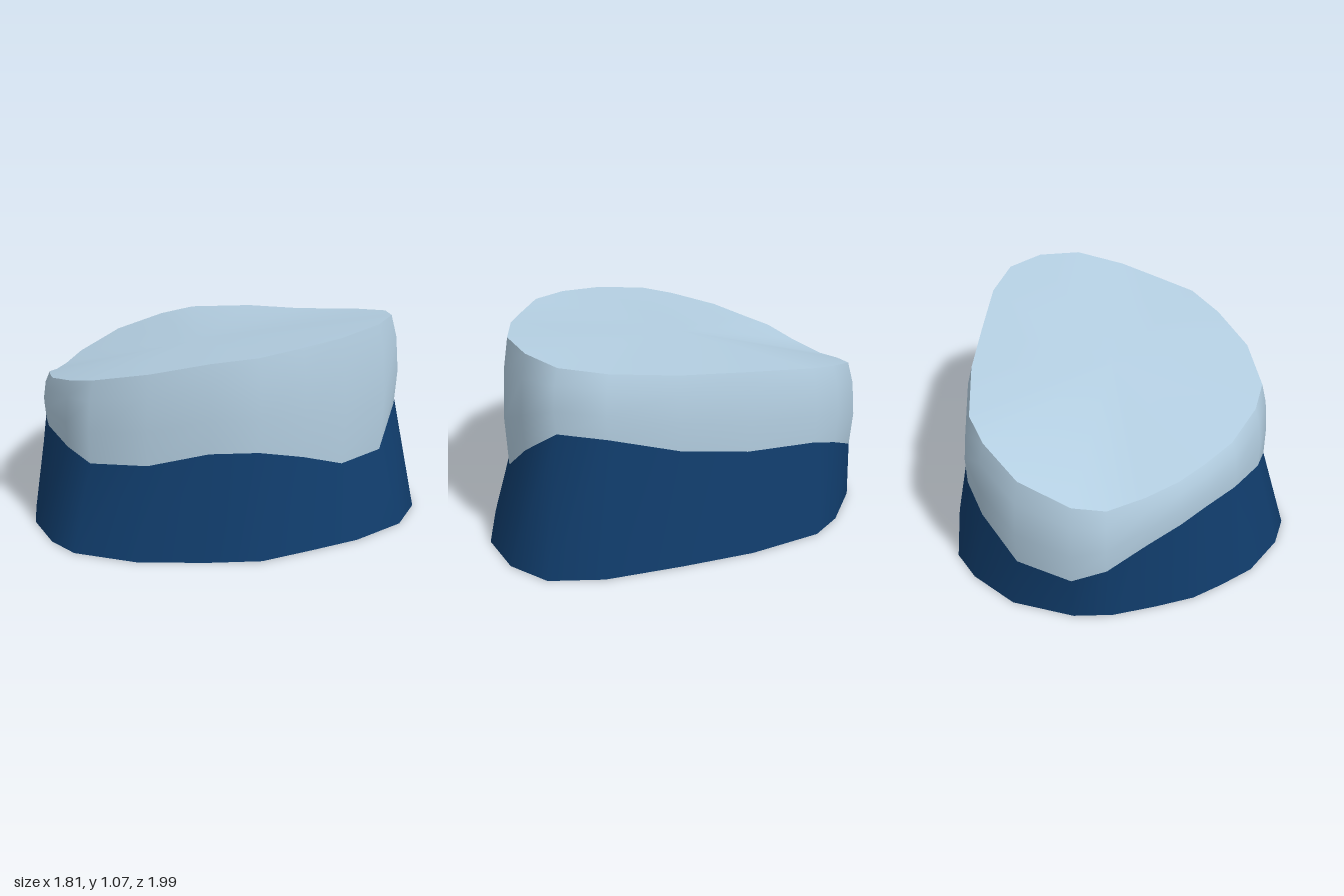
import * as THREE from 'three';

// Rim stations, counterclockwise from above: x, z, rim height, colour seam height
const stations = [
  [-0.745, -0.065, 0.86, 0.44], [-0.645, 0.21, 0.92, 0.465], [-0.47, 0.44, 0.975, 0.53],
  [-0.31, 0.61, 1.0, 0.53], [-0.09, 0.71, 1.02, 0.465], [0.11, 0.795, 1.04, 0.39],
  [0.37, 0.845, 1.065, 0.40], [0.58, 0.79, 1.06, 0.58], [0.725, 0.665, 1.035, 0.72],
  [0.77, 0.44, 1.0, 0.685], [0.75, 0.1, 0.95, 0.575], [0.72, -0.235, 0.92, 0.515],
  [0.64, -0.595, 0.87, 0.48], [0.535, -0.745, 0.825, 0.41], [0.335, -0.91, 0.745, 0.28],
  [0.07, -0.96, 0.66, 0.235], [-0.09, -0.92, 0.63, 0.285], [-0.26, -0.82, 0.655, 0.385],
  [-0.405, -0.725, 0.695, 0.455], [-0.515, -0.605, 0.725, 0.49], [-0.63, -0.465, 0.765, 0.51],
  [-0.725, -0.235, 0.82, 0.48],
];

// Horizontal sections of the shell
const foot = ([x, z]) => [x * 1.195 - 0.015, 0, z * 1.1 + 0.085 * z * z];
const seam = ([x, z, , s]) => [x * 1.045, s, z * 1.03];
const bulge = ([x, z, t, s]) => [x * 1.05, s + 0.38 * (t - s), z * 1.045];
const shoulder = ([x, z, t, s]) => [x * 1.032, s + 0.76 * (t - s), z * 1.03];
const rim = ([x, z, t]) => [x, t, z];

function geometryFrom(points, index) {
  const geometry = new THREE.BufferGeometry();
  geometry.setAttribute('position', new THREE.Float32BufferAttribute(points.flat(), 3));
  geometry.setIndex(index);
  geometry.computeVertexNormals();
  return geometry;
}

// Smooth wall through a stack of closed sections
function loft(sections) {
  const n = stations.length;
  const points = sections.flatMap((section) => stations.map(section));
  const index = [];
  for (let r = 0; r < sections.length - 1; r++) {
    for (let i = 0; i < n; i++) {
      const a = r * n + i, b = r * n + (i + 1) % n;
      index.push(a, b, b + n, a, b + n, a + n);
    }
  }
  return geometryFrom(points, index);
}

// Gently saddle-shaped lid, fanned from its middle
function lid() {
  const n = stations.length;
  const points = [...stations.map(rim), [0.03, 0.895, -0.05]];
  const index = [];
  for (let i = 0; i < n; i++) index.push(i, (i + 1) % n, n);
  return geometryFrom(points, index);
}

export function createModel() {
  const navy = new THREE.MeshStandardMaterial({ color: 0x103c6b, side: THREE.DoubleSide });
  navy.name = 'navy';
  const paleBlue = new THREE.MeshStandardMaterial({ color: 0xb4cfe2, side: THREE.DoubleSide });
  paleBlue.name = 'paleBlue';

  const group = new THREE.Group();
  group.name = 'openShell';
  const add = (name, geometry, material) => {
    const mesh = new THREE.Mesh(geometry, material);
    mesh.name = name;
    group.add(mesh);
  };

  add('skirt', loft([foot, seam]), navy);
  add('upperWall', loft([seam, bulge, shoulder, rim]), paleBlue);
  add('topSurface', lid(), paleBlue);
  return group;
}
